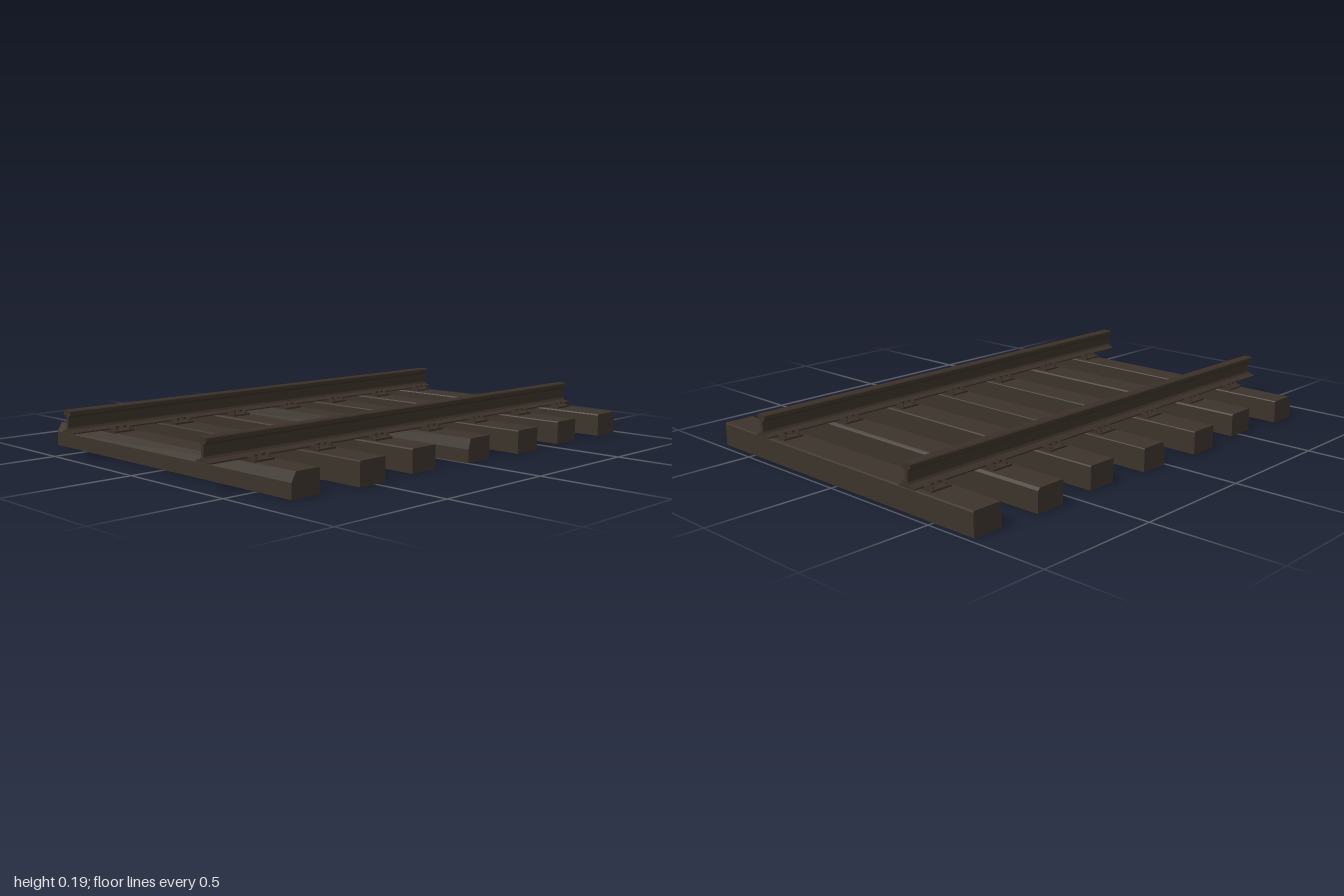
import * as THREE from 'three';

const timber = new THREE.MeshStandardMaterial({ color: 0x3b332b });
timber.name = 'dark timber';
const steel = new THREE.MeshStandardMaterial({ color: 0x3a3028 });
steel.name = 'rusty steel';

// Extrude a closed outline by a length, centred on its depth axis
function prism(points, length) {
  const shape = new THREE.Shape(points.map(([x, y]) => new THREE.Vector2(x, y)));
  const geo = new THREE.ExtrudeGeometry(shape, { depth: length, bevelEnabled: false });
  return geo.translate(0, 0, -length / 2);
}

// Same, but running along x, with the outline's first axis across z
const prismX = (points, length) => prism(points, length).rotateY(Math.PI / 2);

// Mirror the right half of an outline (listed bottom to top)
const mirrored = (half) => [...half, ...half.map(([x, y]) => [-x, y]).reverse()];

export function createModel() {
  const model = new THREE.Group();
  model.name = 'railwayTrack';
  const add = (name, geo, mat, x, y, z, parent = model) => {
    const mesh = new THREE.Mesh(geo, mat);
    mesh.name = name;
    mesh.position.set(x, y, z);
    parent.add(mesh);
    return mesh;
  };

  // Sleepers: centre x, centre z, turn, left wear [dx, dy], right wear [dx, dy]
  const W = 0.0615, H = 0.09;
  const sleepers = [
    [-0.799, -0.018, 0, [0.02, 0.035], [0.002, 0.004]],
    [-0.515, 0.004, 0.003, [0.002, 0.004], [0.003, 0.006]],
    [-0.225, -0.021, 0, [0.003, 0.005], [0.002, 0.004]],
    [0.065, -0.006, 0, [0.013, 0.04], [0.002, 0.004]],
    [0.344, 0.011, 0, [0.002, 0.004], [0.003, 0.005]],
    [0.63, -0.006, 0, [0.003, 0.004], [0.008, 0.01]],
    [0.913, 0.001, -0.004, [0.003, 0.005], [0.003, 0.006]],
  ];
  for (const [x, z, turn, l, r] of sleepers) {
    const outline = [
      [-W, 0], [W, 0], [W, H - r[1]], [W - r[0], H],
      [-W + l[0], H], [-W, H - l[1]],
    ];
    add('sleeper', prism(outline, 1.373), timber, x, 0, z).rotation.y = turn;
  }

  // Rail section: foot, thin web and head
  const railGeo = prismX(mirrored([
    [0.037, 0.1], [0.037, 0.105], [0.012, 0.113], [0.007, 0.121],
    [0.007, 0.158], [0.012, 0.164], [0.021, 0.168], [0.021, 0.182], [0.017, 0.186],
  ]), 2);

  // Tie plate with raised shoulders under the rail
  const plateGeo = prismX(mirrored([
    [0.074, 0.088], [0.074, 0.097], [0.052, 0.101], [0.046, 0.106], [0.038, 0.106],
  ]), 0.086);
  const spikeGeo = new THREE.BoxGeometry(0.012, 0.02, 0.018);
  const boltGeo = new THREE.CylinderGeometry(0.006, 0.006, 0.012, 6);

  for (const railZ of [-0.4, 0.4]) {
    add('rail', railGeo, steel, 0, 0, railZ);
    for (const [x] of sleepers) {
      const fixing = new THREE.Group();
      fixing.name = 'railFixing';
      fixing.position.set(x, 0, railZ);
      model.add(fixing);
      add('tiePlate', plateGeo, steel, 0, 0, 0, fixing);
      for (const sz of [-1, 1]) {
        for (const sx of [-1, 1]) {
          add('spikeHead', spikeGeo, steel, sx * 0.016, 0.102, sz * 0.039, fixing);
          add('plateBolt', boltGeo, steel, sx * 0.03, 0.098, sz * 0.061, fixing);
        }
      }
    }
  }
  return model;
}
